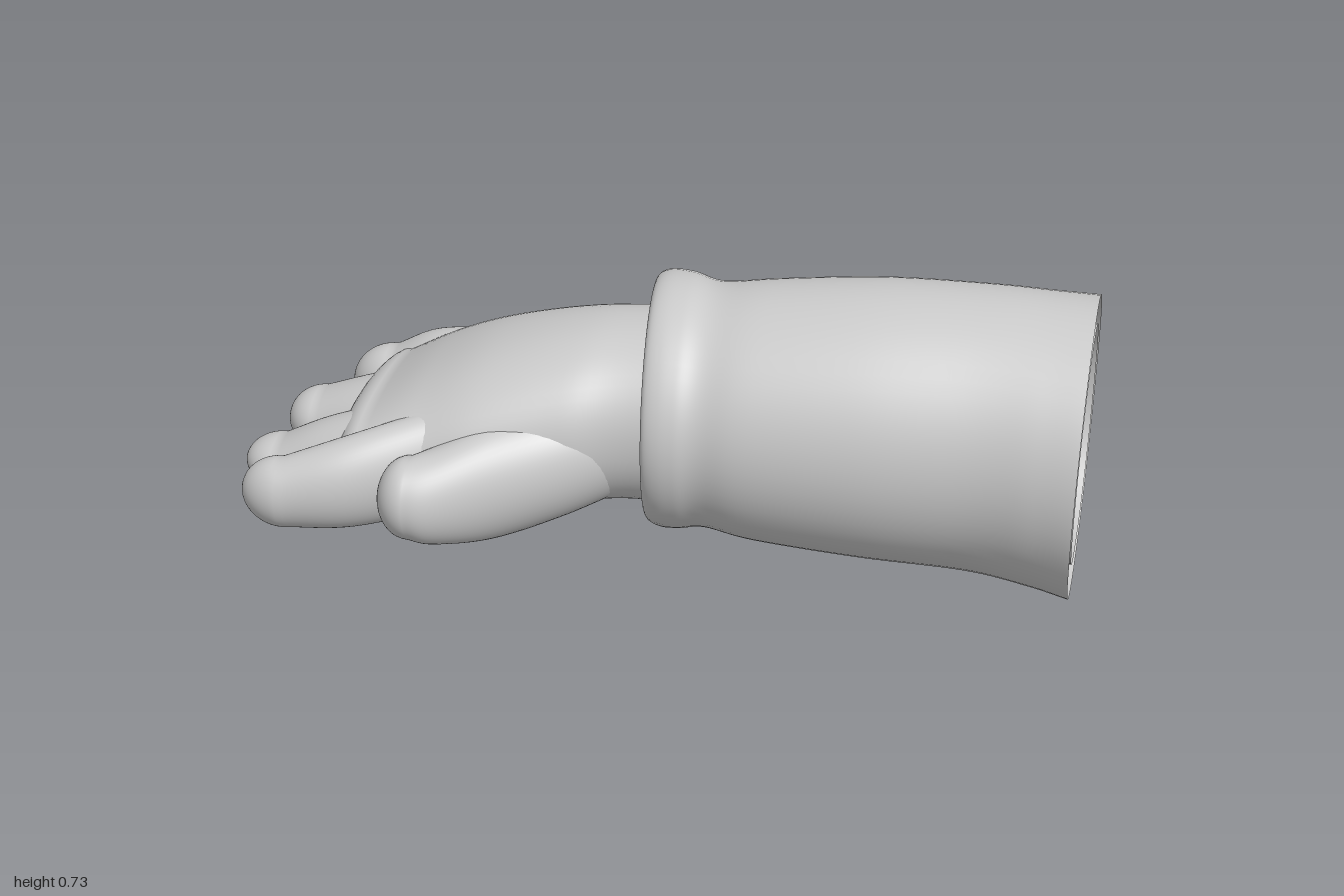
import * as THREE from 'three';

const material = new THREE.MeshStandardMaterial({ color: 0xcccccc, side: THREE.DoubleSide });
const SIDES = 56;

// Smooth skin over cross-sections [x, yLow, yHigh, zBack, zFront].
// tip > 0 closes the last section with a rounded dome of that length.
function loft(name, sections, { tip = 0, power = 2, steps = 8, warp = null } = {}) {
  const centres = new THREE.CatmullRomCurve3(
    sections.map(([x, y0, y1, z0, z1]) => new THREE.Vector3(x, (y0 + y1) / 2, (z0 + z1) / 2)), false, 'catmullrom', 0.5);
  const radii = new THREE.CatmullRomCurve3(
    sections.map(([, y0, y1, z0, z1]) => new THREE.Vector3((y1 - y0) / 2, (z1 - z0) / 2, 0)), false, 'catmullrom', 0.5);

  const rings = [];
  const n = (sections.length - 1) * steps;
  for (let i = 0; i <= n; i++) rings.push([centres.getPoint(i / n), radii.getPoint(i / n)]);
  if (tip > 0) {
    const [c, r] = rings[n];
    for (let i = 1; i <= 12; i++) {
      const a = (i / 12) * Math.PI / 2;
      const end = c.clone();
      end.x -= tip * Math.sin(a);
      rings.push([end, r.clone().multiplyScalar(Math.max(Math.cos(a), 0.001))]);
    }
  }

  const positions = [], index = [];
  const bulge = (v) => Math.sign(v) * Math.pow(Math.abs(v), 2 / power);
  rings.forEach(([c, r], i) => {
    for (let j = 0; j < SIDES; j++) {
      const a = (j / SIDES) * Math.PI * 2;
      const p = new THREE.Vector3(c.x, c.y + r.x * bulge(Math.cos(a)), c.z + r.y * bulge(Math.sin(a)));
      if (warp) warp(p);
      positions.push(p.x, p.y, p.z);
      if (i === rings.length - 1) continue;
      const k = (j + 1) % SIDES, row = i * SIDES, next = row + SIDES;
      index.push(row + j, next + j, row + k, next + j, next + k, row + k);
    }
  });
  const geometry = new THREE.BufferGeometry();
  geometry.setAttribute('position', new THREE.Float32BufferAttribute(positions, 3));
  geometry.setIndex(index);
  geometry.computeVertexNormals();
  const mesh = new THREE.Mesh(geometry, material);
  mesh.name = name;
  return mesh;
}

export function createModel() {
  const model = new THREE.Group();
  model.name = 'sleevedArm';

  // Sleeve with a rolled cuff; the cuff opening slants from back to front
  const slant = (p) => {
    p.x += 0.12 * (p.z + 0.06) * THREE.MathUtils.clamp((0.2 - p.x) / 0.2, 0, 1);
  };
  model.add(loft('sleeve', [
    [1, 0, 0.725, -0.435, 0.275],
    [0.9, 0.018, 0.727, -0.42, 0.255],
    [0.75, 0.035, 0.73, -0.405, 0.238],
    [0.5, 0.045, 0.725, -0.395, 0.25],
    [0.25, 0.065, 0.7, -0.37, 0.25],
    [0.12, 0.085, 0.68, -0.355, 0.238],
    [0.05, 0.072, 0.69, -0.38, 0.245],
    [0, 0.07, 0.69, -0.385, 0.246],
    [-0.03, 0.085, 0.678, -0.37, 0.238],
    [-0.035, 0.11, 0.655, -0.345, 0.222],
    [0, 0.12, 0.64, -0.325, 0.213],
    [0.05, 0.12, 0.64, -0.325, 0.213],
  ], { warp: slant }));

  // Hand: open forearm running into the palm, with fingers and thumb
  const hand = new THREE.Group();
  hand.name = 'hand';
  hand.add(loft('forearmAndPalm', [
    [1, 0.1, 0.66, -0.34, 0.21],
    [0.5, 0.115, 0.65, -0.325, 0.21],
    [0, 0.15, 0.61, -0.285, 0.195],
    [-0.2, 0.14, 0.59, -0.29, 0.24],
    [-0.4, 0.127, 0.54, -0.3, 0.285],
    [-0.55, 0.135, 0.475, -0.305, 0.3],
    [-0.68, 0.15, 0.4, -0.295, 0.335],
  ], { tip: 0.09, power: 2.15 }));

  const fingers = {
    littleFinger: [0.11, [
      [-0.42, 0.17, 0.45, -0.285, -0.1],
      [-0.62, 0.15, 0.415, -0.309, -0.12],
      [-0.74, 0.15, 0.355, -0.305, -0.135]]],
    ringFinger: [0.085, [
      [-0.55, 0.17, 0.43, -0.15, 0.06],
      [-0.75, 0.15, 0.36, -0.14, 0.06],
      [-0.875, 0.155, 0.31, -0.135, 0.045]]],
    middleFinger: [0.09, [
      [-0.55, 0.17, 0.43, 0.04, 0.26],
      [-0.78, 0.15, 0.35, 0.06, 0.25],
      [-0.91, 0.16, 0.285, 0.075, 0.24]]],
    indexFinger: [0.1, [
      [-0.48, 0.17, 0.44, 0.1, 0.28],
      [-0.68, 0.15, 0.39, 0.2, 0.375],
      [-0.845, 0.155, 0.335, 0.265, 0.408]]],
    thumb: [0.075, [
      [-0.05, 0.21, 0.47, -0.08, 0.17],
      [-0.2, 0.16, 0.46, 0, 0.268],
      [-0.35, 0.13, 0.43, 0.1, 0.35],
      [-0.47, 0.145, 0.39, 0.19, 0.415],
      [-0.53, 0.17, 0.375, 0.25, 0.43]]],
  };
  for (const [name, [tip, sections]] of Object.entries(fingers)) {
    hand.add(loft(name, sections, { tip, steps: 10 }));
  }
  model.add(hand);
  return model;
}
